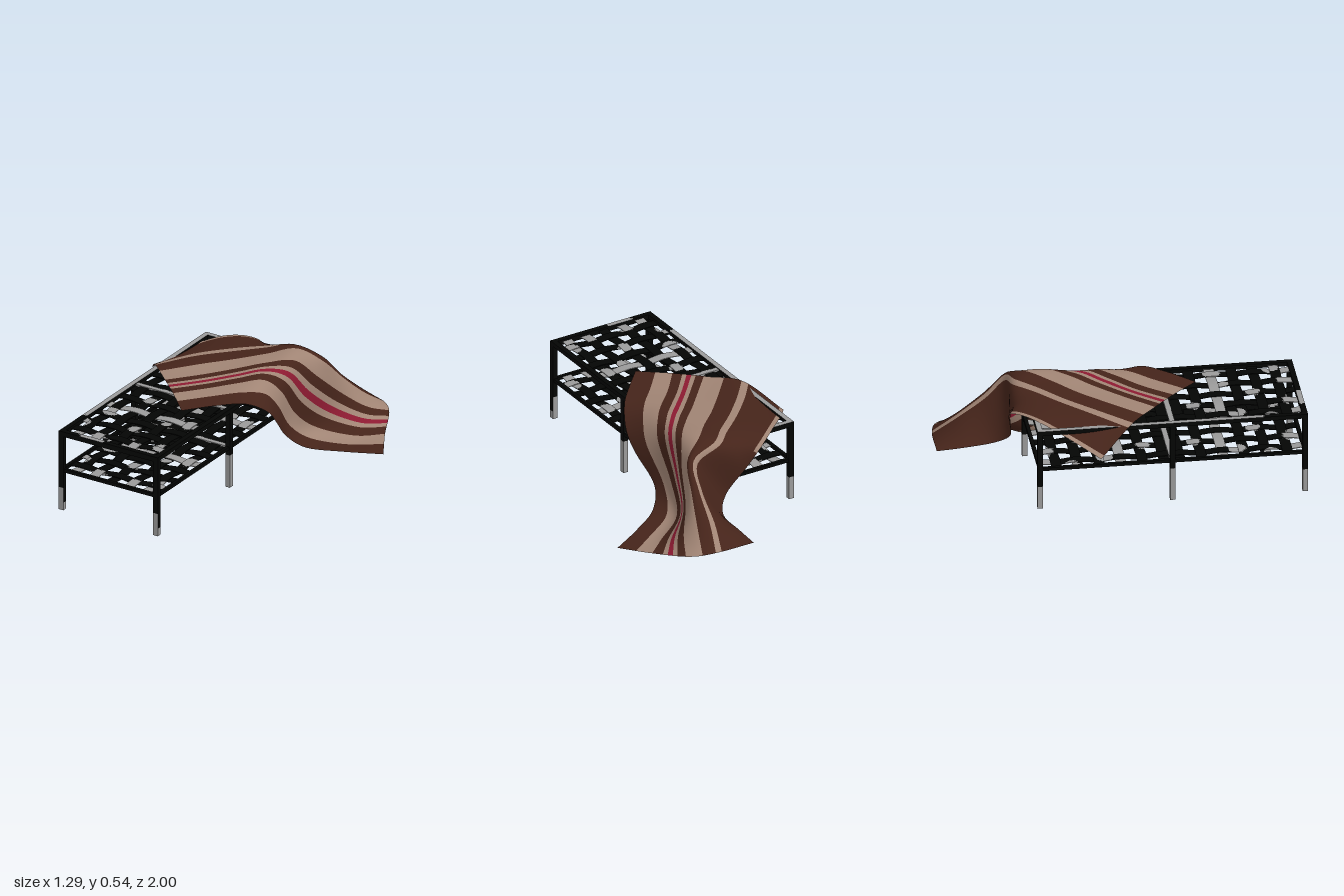
import * as THREE from 'three';

const mat = (name, color, side = THREE.FrontSide) => {
  const m = new THREE.MeshStandardMaterial({ color, side });
  m.name = name;
  return m;
};

// Overall bench dimensions
const LEFT = 0.125, RIGHT = -0.495, MID_X = -0.185;
const FRONT = 0.98, MID_Z = 0.24, BACK = -0.5;
const BAR = 0.03, TOP = 0.465, SHELF = 0.24;

// Bare metal spots, given as x, z, radius within the front bay
const SPOTS = [
  [-0.30, 0.38, 0.04], [-0.41, 0.61, 0.05], [-0.18, 0.73, 0.04], [-0.07, 0.58, 0.03],
  [0.06, 0.53, 0.05], [0.08, 0.86, 0.05], [-0.48, 0.80, 0.05], [-0.30, 0.97, 0.08], [0.12, 0.70, 0.03],
];
const mirrorZ = z => MID_Z + Math.abs(z - MID_Z);
const worn = p => SPOTS.some(([x, z, r]) => Math.hypot(p.x - x, mirrorZ(p.z) - z) < r);

// Sorts triangles into one geometry group per material
function setGroups(geo, lists) {
  geo.setIndex(lists.flat());
  geo.clearGroups();
  let start = 0;
  lists.forEach((list, i) => {
    geo.addGroup(start, list.length, i);
    start += list.length;
  });
}

// Painted mesh whose faces turn to bare metal where the rule says so
function twoTone(name, geo, rule, mats) {
  const src = geo.index.array, pos = geo.attributes.position;
  const lists = [[], []];
  const c = new THREE.Vector3(), v = new THREE.Vector3();
  for (let i = 0; i < src.length; i += 3) {
    c.set(0, 0, 0);
    for (let k = 0; k < 3; k++) c.add(v.fromBufferAttribute(pos, src[i + k]));
    c.divideScalar(3);
    lists[rule(c) ? 1 : 0].push(src[i], src[i + 1], src[i + 2]);
  }
  setGroups(geo, lists);
  const mesh = new THREE.Mesh(geo, mats);
  mesh.name = name;
  return mesh;
}

function bar(name, size, at, rule, mats) {
  const seg = size.map(s => Math.max(1, Math.round(s / 0.015)));
  const geo = new THREE.BoxGeometry(...size, ...seg).translate(...at);
  return twoTone(name, geo, rule, mats);
}

function buildFrame(mats) {
  const g = new THREE.Group();
  g.name = 'benchFrame';
  const length = FRONT - BACK, width = LEFT - RIGHT;
  const painted = () => false;
  for (const x of [LEFT, RIGHT]) {
    // Six legs with bare lower ends, the front pair painted further down on the outer side
    for (const [z, bare, outer] of [[FRONT, 0.137, 0.05], [MID_Z, 0.2, 0.2], [BACK, 0.137, 0.137]]) {
      const rule = p => p.y < (p.x > x + 0.014 ? outer : bare);
      g.add(bar('leg', [BAR, 0.47, BAR], [x, 0.235, z], rule, mats));
    }
    // Long rails, worn bare along the upper face
    const bareTop = p => p.y > 0.479 && (x === RIGHT ? p.z < 0.75 : p.z < 0.1);
    g.add(bar('topSideRail', [BAR, 0.025, length + BAR], [x, 0.4675, MID_Z], bareTop, mats));
    g.add(bar('shelfSideRail', [0.02, 0.018, length], [x, SHELF, MID_Z], painted, mats));
  }
  // End rails and middle crossbars
  for (const z of [FRONT, BACK]) {
    const bareTop = p => p.y > 0.479 && (z === BACK || worn(p));
    g.add(bar('topEndRail', [width, BAR, BAR], [MID_X, TOP, z], bareTop, mats));
    g.add(bar('shelfEndRail', [width, 0.02, 0.02], [MID_X, SHELF, z], painted, mats));
  }
  for (const y of [TOP, SHELF]) {
    g.add(bar('crossbar', [width, 0.02, 0.03], [MID_X, y, MID_Z], () => true, mats));
  }
  return g;
}

// Straps passing over and under each other in both bays
function buildWeave(name, y, mats) {
  const g = new THREE.Group();
  g.name = name;
  const PX = 0.117, PZ = 0.12, Z0 = 0.285, W = 0.058, T = 0.004, AMP = 0.005;
  const wave = (geo, f) => {
    const p = geo.attributes.position;
    for (let i = 0; i < p.count; i++) p.setY(i, p.getY(i) + f(p.getX(i), p.getZ(i)));
    geo.computeVertexNormals();
    return geo;
  };
  const bayLength = FRONT - MID_Z;
  for (const side of [1, -1]) {
    for (let i = 0; i < 5; i++) {
      const geo = new THREE.BoxGeometry(W, T, bayLength, 6, 1, 64)
        .translate(MID_X + (i - 2) * PX, y, MID_Z + side * bayLength / 2);
      wave(geo, (x, z) => AMP * Math.cos(Math.PI * ((mirrorZ(z) - Z0) / PZ + i)));
      const bareEnd = p => worn(p) || (mirrorZ(p.z) > 0.88 && i !== 2);
      g.add(twoTone('longStrap', geo, bareEnd, mats));
    }
    for (let j = 0; j < 6; j++) {
      const z = MID_Z + side * (Z0 + j * PZ - MID_Z);
      const geo = new THREE.BoxGeometry(LEFT - RIGHT, T, W, 54, 1, 6).translate(MID_X, y, z);
      wave(geo, x => -AMP * Math.cos(Math.PI * ((x - MID_X) / PX + 2 + j)));
      g.add(twoTone('crossStrap', geo, p => j === 2 || worn(p), mats));
    }
  }
  return g;
}

// Blanket cross-sections from the end on the seat to the end on the ground,
// each running from the back edge to the front edge
const SECTIONS = [
  [[-0.65, 0.36, -0.18], [-0.51, 0.49, 0.01], [-0.36, 0.50, 0.15], [-0.21, 0.50, 0.29], [-0.065, 0.49, 0.43]],
  [[-0.52, 0.45, -0.37], [-0.37, 0.51, -0.17], [-0.22, 0.505, -0.01], [-0.08, 0.50, 0.13], [0.07, 0.495, 0.28]],
  [[-0.37, 0.49, -0.53], [-0.22, 0.515, -0.33], [-0.09, 0.515, -0.16], [0.04, 0.51, 0.0], [0.18, 0.48, 0.15]],
  [[-0.23, 0.455, -0.63], [-0.08, 0.52, -0.46], [0.03, 0.53, -0.29], [0.13, 0.505, -0.11], [0.245, 0.40, 0.03]],
  [[-0.14, 0.345, -0.62], [0.03, 0.52, -0.57], [0.14, 0.525, -0.42], [0.185, 0.41, -0.20], [0.245, 0.30, -0.06]],
  [[-0.02, 0.205, -0.60], [0.19, 0.465, -0.605], [0.22, 0.41, -0.53], [0.185, 0.22, -0.34], [0.21, 0.15, -0.21]],
  [[0.05, 0.13, -0.68], [0.22, 0.34, -0.71], [0.285, 0.265, -0.675], [0.235, 0.09, -0.485], [0.28, 0.055, -0.31]],
  [[0.05, 0.11, -0.85], [0.24, 0.215, -0.86], [0.365, 0.15, -0.80], [0.41, 0.04, -0.60], [0.45, 0.03, -0.42]],
  [[0.05, 0.10, -1.0], [0.28, 0.10, -0.995], [0.425, 0.085, -0.93], [0.54, 0.04, -0.71], [0.645, 0.02, -0.53]],
];
// Stripe end positions across the blanket and their colours: 0 brown, 1 tan, 2 red
const STRIPES = [
  [0.025, 1], [0.22, 0], [0.265, 1], [0.385, 0], [0.525, 1], [0.58, 0],
  [0.61, 1], [0.642, 2], [0.672, 1], [0.74, 0], [0.86, 1], [1, 0],
];

function buildBlanket(mats) {
  const curve = pts => new THREE.CatmullRomCurve3(pts, false, 'catmullrom', 0.5);
  const across = SECTIONS.map(s => curve(s.map(p => new THREE.Vector3(...p))));
  const NU = 48, HEM_END = 20, pos = [], lists = [[], [], []];
  const addRow = v => {
    const along = curve(across.map(c => c.getPoint(v)));
    for (let i = 0; i <= NU; i++) pos.push(...along.getPoint(i / NU).toArray());
  };
  addRow(0);
  let row = 0, from = 0;
  for (const [to, colour] of STRIPES) {
    const steps = Math.max(1, Math.round((to - from) / 0.03));
    for (let k = 1; k <= steps; k++, row++) {
      addRow(from + (to - from) * k / steps);
      for (let i = 0; i < NU; i++) {
        // The pale hem only follows the seat part of the back edge
        const c = row === 0 && i >= HEM_END ? 0 : colour;
        const a = row * (NU + 1) + i, b = a + NU + 1;
        lists[c].push(a, b, a + 1, b, b + 1, a + 1);
      }
    }
    from = to;
  }
  const geo = new THREE.BufferGeometry();
  geo.setAttribute('position', new THREE.Float32BufferAttribute(pos, 3));
  setGroups(geo, lists);
  geo.computeVertexNormals();
  const mesh = new THREE.Mesh(geo, mats);
  mesh.name = 'stripedBlanket';
  return mesh;
}

export function createModel() {
  const metal = [mat('blackPaint', 0x040504), mat('bareMetal', 0x9a9a9a)];
  const cloth = [
    mat('brownCloth', 0x45241a, THREE.DoubleSide),
    mat('tanCloth', 0xa08474, THREE.DoubleSide),
    mat('redCloth', 0x8c1a31, THREE.DoubleSide),
  ];
  const model = new THREE.Group();
  model.name = 'benchWithBlanket';
  model.add(
    buildFrame(metal),
    buildWeave('seatWeave', TOP, metal),
    buildWeave('shelfWeave', SHELF, metal),
    buildBlanket(cloth),
  );
  return model;
}
